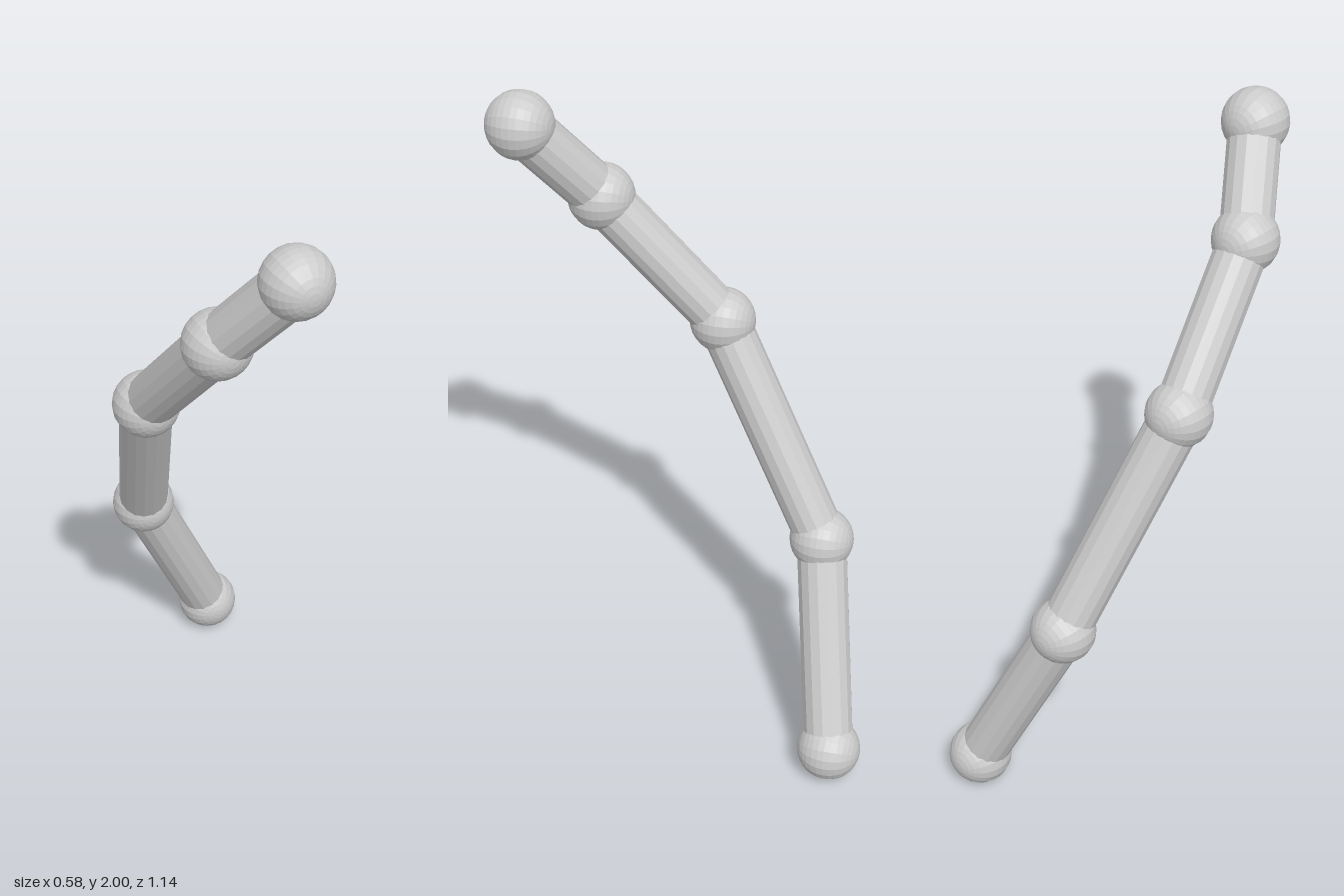
import * as THREE from 'three';

const JOINT_RADIUS = 0.094;
const ROD_RADIUS = 0.074;

// Joint centres from the base to the tip
const JOINTS = [
  [0.193, 0.094, -0.476],
  [-0.071, 0.667, -0.374],
  [-0.198, 1.287, -0.035],
  [-0.143, 1.661, 0.297],
  [-0.022, 1.906, 0.476],
].map((p) => new THREE.Vector3(...p));

export function createModel() {
  const group = new THREE.Group();
  group.name = 'jointedRod';
  const material = new THREE.MeshStandardMaterial({ color: 0xcccccc, flatShading: true });

  // Ball joints, poles along z
  const ball = new THREE.SphereGeometry(JOINT_RADIUS, 20, 16).rotateX(Math.PI / 2);
  JOINTS.forEach((centre, i) => {
    const joint = new THREE.Mesh(ball, material);
    joint.name = `joint${i + 1}`;
    joint.position.copy(centre);
    group.add(joint);
  });

  // Straight rods running from centre to centre
  const up = new THREE.Vector3(0, 1, 0);
  for (let i = 0; i < JOINTS.length - 1; i++) {
    const span = JOINTS[i + 1].clone().sub(JOINTS[i]);
    const rod = new THREE.Mesh(
      new THREE.CylinderGeometry(ROD_RADIUS, ROD_RADIUS, span.length(), 16),
      material,
    );
    rod.name = `rod${i + 1}`;
    rod.position.copy(JOINTS[i]).addScaledVector(span, 0.5);
    rod.quaternion.setFromUnitVectors(up, span.normalize());
    group.add(rod);
  }

  return group;
}
